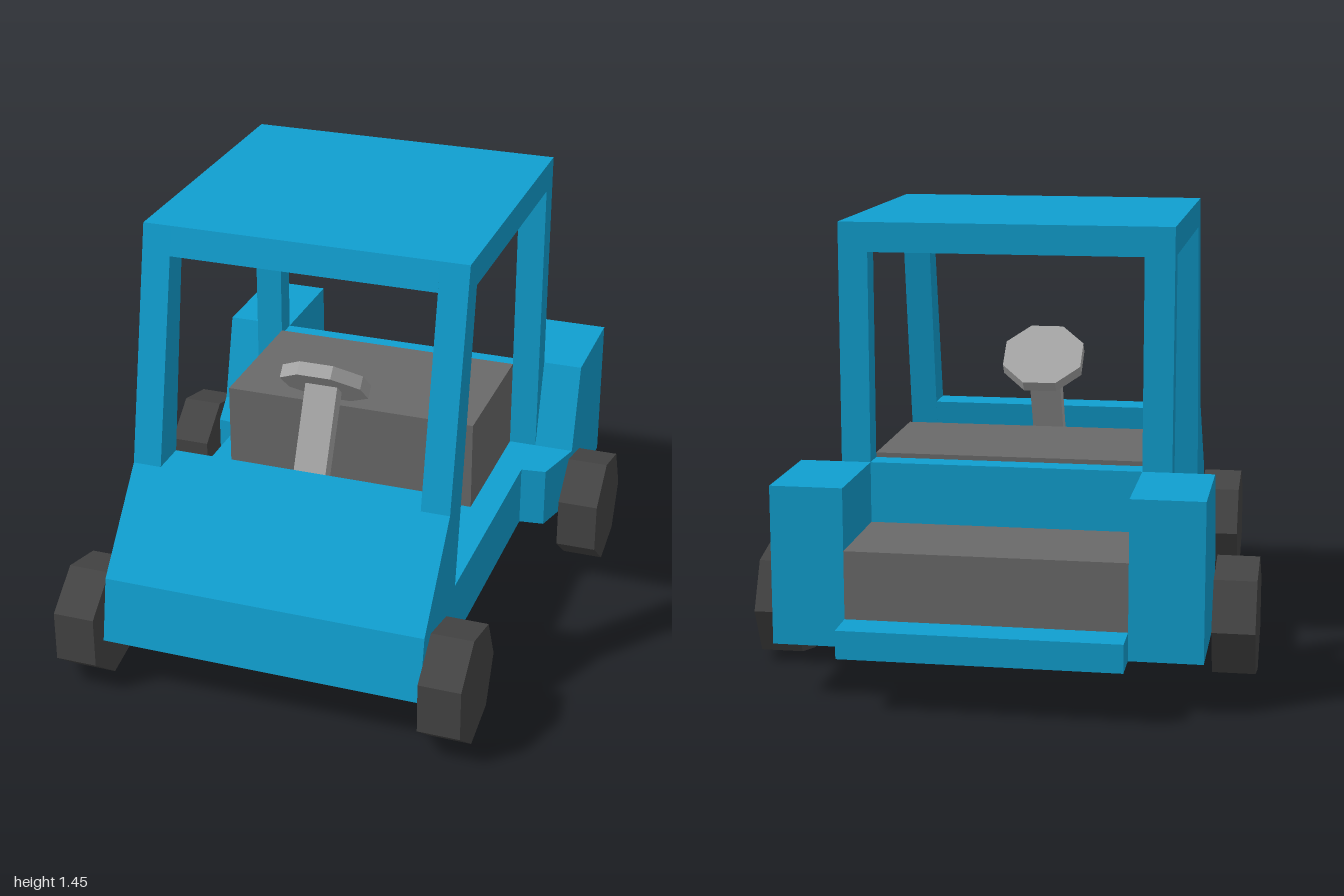
import * as THREE from 'three';

const mat = (color) => new THREE.MeshStandardMaterial({ color, flatShading: true });

export function createModel() {
  const group = new THREE.Group();
  const blue = mat(0x109fd0), seatGrey = mat(0x6a6a6a), tyreGrey = mat(0x444444), steel = mat(0xa6a6a6);

  const add = (name, geometry, material) => {
    const mesh = new THREE.Mesh(geometry, material);
    mesh.name = name;
    group.add(mesh);
    return mesh;
  };
  const toShape = (pts) => new THREE.Shape(pts.map(([a, b]) => new THREE.Vector2(a, b)));

  // Side profile of [z, y] points, extruded across from x0 to x1
  const across = (name, pts, x0, x1, material, hole) => {
    const shape = toShape(pts);
    if (hole) shape.holes.push(toShape(hole));
    const g = new THREE.ExtrudeGeometry(shape, { depth: x1 - x0, bevelEnabled: false });
    return add(name, g.rotateY(-Math.PI / 2).translate(x1, 0, 0), material);
  };

  // Box given by its limits
  const box = (name, x0, x1, y0, y1, z0, z1, material) =>
    add(name, new THREE.BoxGeometry(x1 - x0, y1 - y0, z1 - z0)
      .translate((x0 + x1) / 2, (y0 + y1) / 2, (z0 + z1) / 2), material);

  const IN = 0.44, OUT = 0.535, FENDER = 0.67;

  // Nose, floor and wall behind the seat
  across('lowerBody', [
    [0.95, 0.18], [0.91, 0.39], [0.66, 0.685], [0.537, 0.685], [0.585, 0.39],
    [-0.43, 0.39], [-0.43, 0.685], [-0.51, 0.685], [-0.51, 0.18],
  ], -IN, IN, blue);

  // Roof between the side frames
  across('roof', [[0.52, 1.365], [0.5, 1.46], [-0.51, 1.46], [-0.51, 1.365]], -IN, IN, blue);

  for (const s of [1, -1]) {
    const side = s > 0 ? 'left' : 'right';
    const span = (a, b) => (s > 0 ? [a, b] : [-b, -a]);

    // Side frame with pillars around the door opening
    across(side + 'SideFrame', [
      [0.95, 0.18], [0.91, 0.39], [0.66, 0.685], [0.5, 1.46], [-0.51, 1.46], [-0.51, 0.18],
    ], ...span(IN, OUT), blue, [[0.585, 0.39], [0.425, 1.365], [-0.43, 1.365], [-0.43, 0.39]]);

    // Rear fender with sloping front
    across(side + 'RearFender', [
      [-0.88, 0.18], [-0.43, 0.18], [-0.43, 0.39], [-0.51, 0.685], [-0.88, 0.685],
    ], ...span(IN, FENDER), blue);

    // Low tapered step in front of the fender, drawn in plan as [x, -z]
    const step = toShape([[OUT, 0.43], [FENDER, 0.43], [0.62, 0.245], [OUT, 0.235]].map(([x, y]) => [s * x, y]));
    add(side + 'FenderStep', new THREE.ExtrudeGeometry(step, { depth: 0.21, bevelEnabled: false })
      .rotateX(-Math.PI / 2).translate(0, 0.18, 0), blue);

    // Seven-sided wheels
    for (const [name, x, z] of [['FrontWheel', 0.612, 0.825], ['RearWheel', 0.742, -0.415]]) {
      const g = new THREE.CylinderGeometry(0.195, 0.195, 0.138, 7, 1, false, Math.PI, Math.PI * 2);
      add(side + name, g.rotateZ(Math.PI / 2), tyreGrey).position.set(s * x, 0.197, z);
    }
  }

  // Seat, cargo bed and rear bumper
  box('seat', -IN, IN, 0.39, 0.7, -0.43, 0.08, seatGrey);
  box('cargoBed', -IN, IN, 0.27, 0.487, -0.88, -0.51, seatGrey);
  box('rearBumper', -IN, IN, 0.18, 0.27, -1, -0.51, blue);

  // Steering column and eight-sided steering wheel
  across('steeringColumn', [[0.58, 0.39], [0.525, 0.39], [0.295, 0.89], [0.34, 0.925]], -0.055, 0.055, steel);
  const wheel = add('steeringWheel',
    new THREE.CylinderGeometry(0.15, 0.15, 0.045, 8).rotateY(Math.PI / 8).scale(1, 1, 0.95), steel);
  wheel.position.set(0, 0.9, 0.307);
  wheel.rotation.x = -0.71;

  return group;
}
